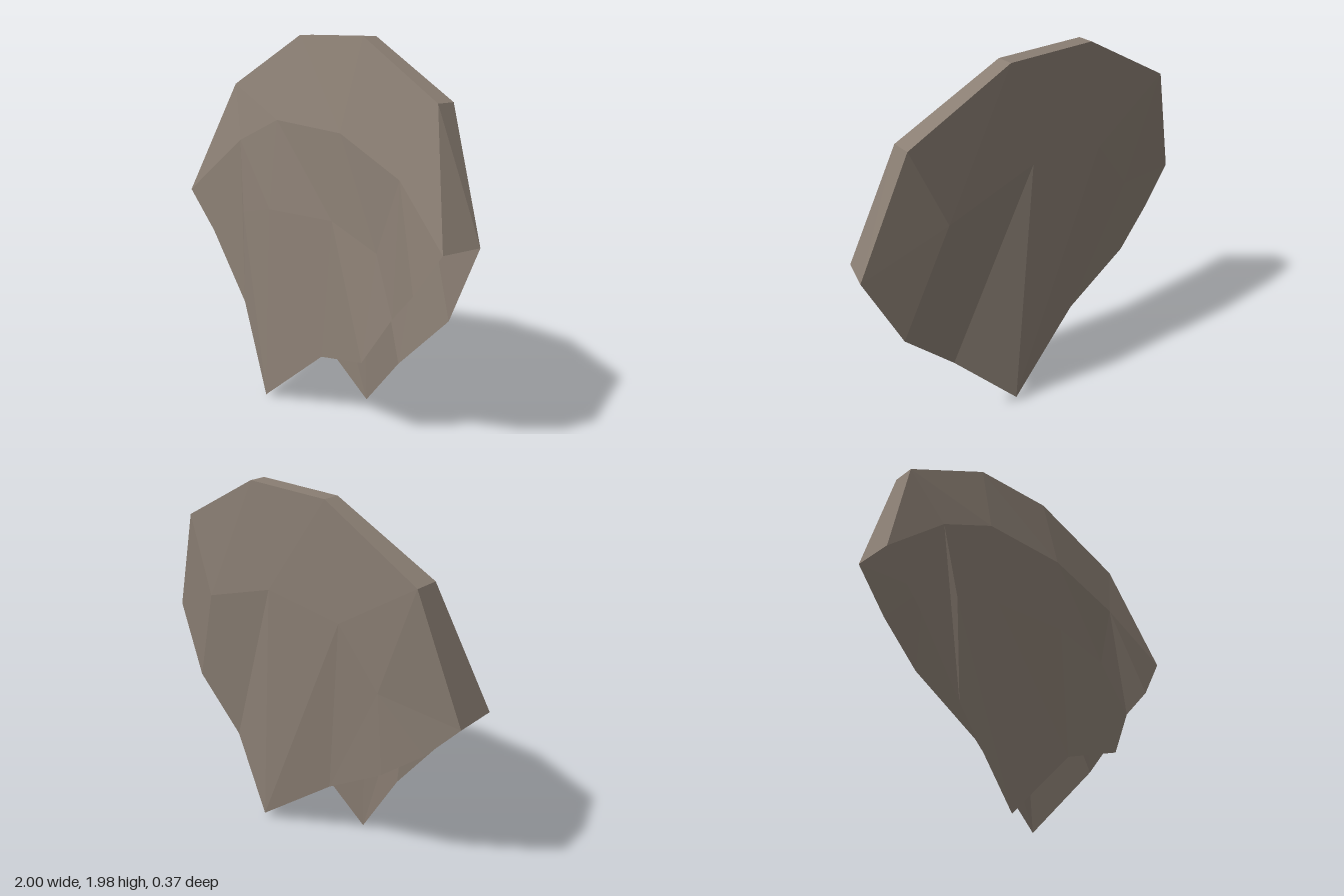
import * as THREE from 'three';

const cloth = new THREE.MeshStandardMaterial({ color: 0x8a7e73, flatShading: true, side: THREE.DoubleSide });
cloth.name = 'grey brown cloth';

// Builds a faceted mesh from named points and polygons (each a fan, outward counter-clockwise)
function panel(name, points, polygons) {
  const pos = [];
  for (const poly of polygons) {
    const p = poly.split(' ').map((k) => points[k]);
    for (let i = 1; i < p.length - 1; i++) pos.push(...p[0], ...p[i], ...p[i + 1]);
  }
  const g = new THREE.BufferGeometry();
  g.setAttribute('position', new THREE.Float32BufferAttribute(pos, 3));
  g.computeVertexNormals();
  const mesh = new THREE.Mesh(g, cloth);
  mesh.name = name;
  return mesh;
}

// Front sheet: columns a-d run from top (0) to hem (3); l and r are the side corners
const front = {
  l: [-1, 1.07, 0.16], l1: [-0.8, 0.85, 0.14],
  a0: [-0.78, 1.7, -0.03], a1: [-0.62, 1.4, 0.06], a2: [-0.55, 1.0, 0.1], a3: [-0.53, 0.47, 0.12],
  b0: [-0.26, 1.98, -0.085], b1: [-0.3, 1.54, 0.045], b2: [-0.3, 1.06, 0.105], b3: [-0.26, 0, 0.18],
  c0: [0.22, 1.98, -0.085], c1: [0.2, 1.52, 0.045], c2: [0.18, 1.08, 0.08], c3: [0.16, 0.355, 0.13],
  d0: [0.75, 1.7, -0.035], d1: [0.62, 1.35, 0.06], d2: [0.5, 0.98, 0.08], d3: [0.49, 0.44, 0.16],
  r: [0.95, 1.08, 0.13], r1: [0.8, 0.86, 0.145], r2: [0.65, 0.7, 0.12],
};

// Back sheet: one row of inner creases, then the hem
const back = {
  l: [-1, 1.07, -0.065], l1: [-0.83, 0.865, -0.085],
  a0: [-0.78, 1.7, -0.155], a1: [-0.58, 1.12, -0.14], a3: [-0.61, 0.67, -0.12],
  b0: [-0.26, 1.98, -0.17], b1: [-0.35, 1.41, -0.165], b3: [-0.25, 0.41, -0.1],
  c0: [0.22, 1.98, -0.172], c1: [0.1, 1.46, -0.185], c3: [0.2, 0.03, -0.165],
  d0: [0.75, 1.7, -0.14], d1: [0.58, 1.29, -0.167], d3: [0.53, 0.385, -0.06],
  r: [1, 1.09, -0.06], r1: [0.82, 0.69, -0.085],
};

export function createModel() {
  const group = new THREE.Group();
  group.name = 'foldedCloth';

  const frontFaces = ['a0 l a1', 'l l1 a1', 'a1 l1 a3 a2', 'd0 d1 r', 'd1 r1 r', 'd1 d2 r2 r1', 'd2 d3 r2'];
  for (const [p, q] of ['ab', 'bc', 'cd']) {
    for (let i = 0; i < 3; i++) frontFaces.push(`${p}${i} ${p}${i + 1} ${q}${i + 1} ${q}${i}`);
  }
  group.add(panel('frontSheet', front, frontFaces));

  group.add(panel('backSheet', back, [
    'a0 a1 l', 'a1 l1 l', 'a1 a3 l1', 'a0 b0 b1 a1', 'a1 b1 b3 a3',
    'b0 c0 c1 b1', 'b1 c1 c3 b3', 'c0 d0 d1 c1', 'c1 d1 d3 c3',
    'd0 r d1', 'd1 r r1', 'd1 r1 d3',
  ]));

  // Rim joining the two sheets over the top; the bottom stays open
  const path = ['l', 'a0', 'b0', 'c0', 'd0', 'r'];
  const rim = {};
  for (const k of path) {
    rim['f' + k] = front[k];
    rim['k' + k] = back[k];
  }
  group.add(panel('topRim', rim, path.slice(1).map((q, i) => `f${path[i]} f${q} k${q} k${path[i]}`)));
  return group;
}
